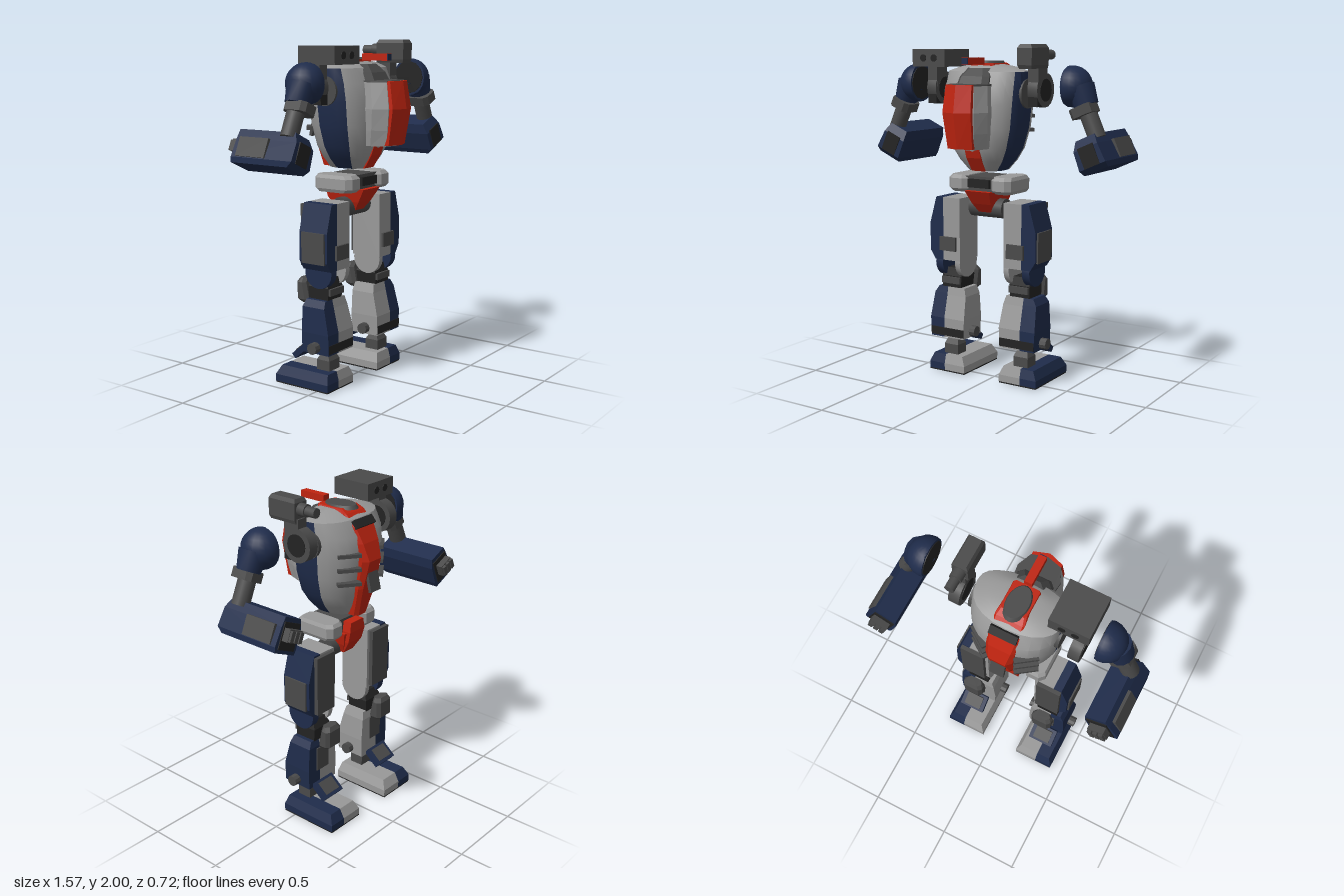
import * as THREE from 'three';
import { toCreasedNormals } from 'three/addons/utils/BufferGeometryUtils.js';

const paint = (name, color) => {
  const m = new THREE.MeshStandardMaterial({ color });
  m.name = name;
  return m;
};

// Flat-sided solid through closed rings of [x, y, z]; pick(i, r) gives the material index of side i in row r.
function loft(rings, pick = () => 0, s = 1) {
  const n = rings[0].length, tris = [];
  const add = (g, a, b, c) => tris.push({ g, p: [a, b, c].map(v => [v[0] * s, v[1], v[2]]) });
  for (let r = 0; r + 1 < rings.length; r++) for (let i = 0; i < n; i++) {
    const j = (i + 1) % n, A = rings[r], B = rings[r + 1];
    add(pick(i, r), A[i], B[i], B[j]);
    add(pick(i, r), A[i], B[j], A[j]);
  }
  const last = rings[rings.length - 1];
  for (let i = 1; i + 1 < n; i++) {
    add(0, rings[0][0], rings[0][i], rings[0][i + 1]);
    add(0, last[0], last[i + 1], last[i]);
  }
  // turn the faces outward whatever the ring direction
  let vol = 0;
  const c0 = new THREE.Vector3(...tris[0].p[0]);
  tris.forEach(({ p }) => {
    const [a, b, c] = p.map(v => new THREE.Vector3(...v).sub(c0));
    vol += a.dot(b.cross(c));
  });
  if (vol < 0) tris.forEach(t => t.p.reverse());
  tris.sort((a, b) => a.g - b.g);
  const geo = new THREE.BufferGeometry();
  geo.setAttribute('position', new THREE.Float32BufferAttribute(tris.flatMap(t => t.p.flat()), 3));
  [0, 1].forEach(g => {
    const from = tris.findIndex(t => t.g === g), count = tris.filter(t => t.g === g).length;
    if (count) geo.addGroup(from * 3, count * 3, g);
  });
  geo.computeVertexNormals();
  return geo;
}

// Horizontal rectangle with optional cut corners
function rect(y, x0, x1, z0, z1, c = 0) {
  if (!c) return [[x0, y, z0], [x1, y, z0], [x1, y, z1], [x0, y, z1]];
  return [[x0 + c, y, z0], [x1 - c, y, z0], [x1, y, z0 + c], [x1, y, z1 - c],
    [x1 - c, y, z1], [x0 + c, y, z1], [x0, y, z1 - c], [x0, y, z0 + c]];
}

export function createModel() {
  const light = paint('lightGrey', 0x999999), grey = paint('darkGrey', 0x4a4a4a);
  const black = paint('black', 0x232323), navy = paint('navy', 0x1f2c4b), red = paint('red', 0xbf2410);

  const mesh = (parent, name, geo, mat, pos = [0, 0, 0], rot = [0, 0, 0]) => {
    const m = new THREE.Mesh(geo, mat);
    m.name = name;
    m.position.set(...pos);
    m.rotation.set(...rot);
    parent.add(m);
    return m;
  };
  const box = (p, name, mat, size, pos, rot) => mesh(p, name, new THREE.BoxGeometry(...size), mat, pos, rot);
  const solid = (p, name, mat, rows, s = 1) => mesh(p, name, loft(rows.map(r => rect(...r)), undefined, s), mat);
  const rod = (p, name, mat, r, len, pos, axis, sides = 16) => mesh(p, name,
    toCreasedNormals(new THREE.CylinderGeometry(r, r, len, sides), 0.6), mat, pos,
    axis === 'x' ? [0, 0, Math.PI / 2] : axis === 'z' ? [Math.PI / 2, 0, 0] : [0, 0, 0]);
  const group = (parent, name, x = 0, y = 0, z = 0) => {
    const g = new THREE.Group();
    g.name = name;
    g.position.set(x, y, z);
    parent.add(g);
    return g;
  };

  const model = new THREE.Group();
  model.name = 'walker';
  const body = group(model, 'body', -0.045);

  // Barrel torso with navy flanks: [y, half width, back z, front z]
  const hull = [[1.27, .11, .10, -.15], [1.33, .165, .14, -.18], [1.40, .208, .175, -.205], [1.52, .243, .19, -.23],
    [1.66, .258, .19, -.248], [1.76, .262, .17, -.232], [1.845, .257, .125, -.18], [1.87, .18, .09, -.13], [1.885, .1, .06, -.08]];
  const pow = (v, e) => Math.sign(v) * Math.abs(v) ** e;
  const rings = hull.map(([y, w, b, f]) => Array.from({ length: 24 }, (_, i) => {
    const a = i / 24 * Math.PI * 2, z = pow(Math.sin(a), .85);
    return [w * pow(Math.cos(a), .85), y, z > 0 ? z * b : -z * f];
  }));
  const flank = (i, r) => {
    const a = (i + .5) / 24 * Math.PI * 2;
    return r < 6 && Math.abs(Math.cos(a)) > .87 && Math.sin(a) > -.2 ? 1 : 0;
  };
  mesh(body, 'torso', toCreasedNormals(loft(rings, flank), .5), [light, navy]);

  // Red centre ridge, visor band, hatch and chest plate
  solid(body, 'chestRidge', red, [[1.27, -.05, .05, -.2, 0, .02], [1.45, -.075, .075, -.25, 0, .02],
    [1.62, -.08, .08, -.29, 0, .03], [1.72, -.085, .085, -.256, 0, .02], [1.81, -.085, .085, -.21, .02, .01],
    [1.87, -.085, .085, -.14, .07, .01], [1.892, -.075, .075, -.1, .07, .01]]);
  box(body, 'visorBand', black, [.16, .05, .03], [0, 1.82, -.2], [.7, 0, 0]);
  box(body, 'chestPlate', grey, [.085, .18, .02], [0, 1.525, -.269], [.235, 0, 0]);
  const hatch = mesh(body, 'hatch', toCreasedNormals(new THREE.CylinderGeometry(.06, .07, .02, 20), .6), grey, [0, 1.893, -.04]);
  hatch.scale.z = 1.6;
  box(body, 'antenna', red, [.045, .04, .17], [0, 1.905, .155]);
  box(body, 'antennaEnd', navy, [.04, .036, .006], [0, 1.905, .242]);

  // Backpack, each ring scaled from one outline; the red face is a thin bent plate
  const pack = (pts, rows) => loft(rows.map(([y, k, dz]) => pts.map(([x, z]) => [x * k, y, z + dz])));
  const outline = [[-.125, .1], [-.14, .22], [-.1, .305], [0, .33], [.1, .305], [.14, .22], [.125, .1]];
  mesh(body, 'backpack', pack(outline, [[1.41, .8, -.03], [1.5, .92, -.012], [1.62, 1, 0], [1.768, .9, -.02]]), light);
  mesh(body, 'backpackLid', pack(outline, [[1.768, .9, -.02], [1.777, .89, -.02]]), grey);
  solid(body, 'backpackHood', grey, [[1.77, -.108, .108, 0, .195, .03], [1.82, -.1, .1, 0, .17, .03], [1.865, -.075, .075, 0, .125, .03]]);
  const face = [[0, .322], [-.095, .298], [-.095, .325], [0, .355], [.095, .325], [.095, .298]];
  mesh(body, 'backpackFace', pack(face, [[1.415, .88, -.03], [1.62, 1, .004], [1.775, .92, -.02]]), red);
  solid(body, 'lowerBackStrip', red, [[1.27, -.045, .045, 0, .105], [1.35, -.05, .05, 0, .156], [1.45, -.05, .05, 0, .19]]);

  // Pelvis
  box(body, 'waistBlock', grey, [.2, .09, .2], [0, 1.19, -.01]);
  box(body, 'waistInset', black, [.15, .05, .02], [0, 1.195, .1]);
  solid(body, 'crotchGuard', red, [[1.01, -.04, .04, -.09, .03], [1.07, -.065, .065, -.12, .075], [1.15, -.085, .085, -.14, .125]]);
  solid(body, 'frontGuard', red, [[1.01, -.04, .04, -.1, 0], [1.09, -.06, .06, -.15, 0], [1.16, -.065, .065, -.168, 0], [1.22, -.055, .055, -.165, 0]]);
  rod(body, 'hipAxle', grey, .06, .23, [0, 1.04, -.02], 'x');

  for (const s of [1, -1]) {
    const side = s > 0 ? 'left' : 'right';
    solid(body, side + 'HipBlock', light, [[1.14, .09, .205, -.13, .1, .03], [1.16, .08, .215, -.145, .12, .03],
      [1.22, .08, .215, -.145, .12, .03], [1.24, .09, .205, -.13, .1, .03]], s);
    rod(body, side + 'ShoulderSocket', grey, .085, .03, [s * .25, 1.72, -.02], 'x', 20);
    for (let i = 0; i < 3; i++)
      box(body, side + 'Grille', grey, [.135, .02, .05], [s * .135, 1.665 - i * .083, -.212], [0, -s * .62, 0]);

    // Leg: light inner half, navy outer half
    const leg = group(body, side + 'Leg');
    solid(leg, 'innerThigh', light, [[.705, .155, .275, -.12, .075], [1.09, .155, .275, -.12, .075]], s);
    solid(leg, 'outerThigh', navy, [[.705, .275, .335, -.12, .075], [.76, .275, .37, -.12, .075],
      [.93, .275, .37, -.12, .075], [1.09, .275, .325, -.12, .075]], s);
    box(leg, 'thighFrontPlate', grey, [.15, .36, .03], [s * .25, .9, -.13]);
    box(leg, 'thighSidePanel', grey, [.02, .18, .16], [s * .37, .84, -.02]);
    box(leg, 'thighBackBox', grey, [.115, .085, .03], [s * .237, .808, .075]);
    rod(leg, 'innerKneeDisc', light, .094, .035, [s * .173, .69, -.018], 'x', 20);
    rod(leg, 'outerKneeDisc', navy, .094, .05, [s * .305, .69, -.018], 'x', 20);
    solid(leg, 'kneeJoint', black, [[.5, .18, .31, -.1, .035], [.6, .17, .31, -.105, .035], [.65, .19, .29, -.08, .02]], s);
    box(leg, 'kneeBar', grey, [.13, .04, .06], [s * .24, .575, .02]);
    solid(leg, 'kneeCap', grey, [[.49, .19, .29, -.18, -.11, .02], [.51, .175, .305, -.205, -.12, .02],
      [.61, .175, .305, -.205, -.14, .02], [.635, .19, .29, -.19, -.14, .02]], s);
    solid(leg, 'innerShin', light, [[.22, .13, .27, -.11, .08], [.34, .125, .27, -.11, .08],
      [.48, .135, .27, -.11, .045], [.53, .15, .27, -.1, .035]], s);
    solid(leg, 'outerShin', navy, [[.22, .27, .365, -.11, .08], [.34, .27, .37, -.11, .08],
      [.49, .27, .36, -.11, .045], [.53, .27, .335, -.1, .035]], s);
    box(leg, 'shinPanel', grey, [.1, .15, .01], [s * .25, .4, -.112]);
    box(leg, 'calfBand', black, [.235, .05, .012], [s * .247, .255, .077]);
    rod(leg, 'ankleBolt', grey, .033, .32, [s * .25, .26, -.01], 'x', 10);
    box(leg, 'ankleGuard', navy, [.16, .035, .12], [s * .255, .205, -.155], [-.7, 0, 0]);
    box(leg, 'ankleGuardInset', grey, [.11, .01, .085], [s * .255, .222, -.168], [-.7, 0, 0]);
    solid(leg, 'ankle', grey, [[.09, .2, .3, -.055, .035], [.165, .2, .3, -.055, .035], [.2, .215, .285, -.035, .015]], s);
    solid(leg, 'innerFoot', light, [[.008, .125, .27, -.3, .08], [.05, .125, .27, -.3, .08], [.105, .15, .27, -.27, .065]], s);
    solid(leg, 'outerFoot', navy, [[.008, .27, .38, -.3, .08], [.05, .27, .38, -.3, .08], [.105, .27, .355, -.27, .065]], s);
    box(leg, 'sole', black, [.253, .008, .378], [s * .2525, .004, -.11]);

    // Arm: shoulder ball cut flat on its inner side, then a splayed limb
    const arm = group(model, side + 'Arm');
    const ball = new THREE.SphereGeometry(.115, 20, 14).translate(s * .525, 1.77, .025);
    const p = ball.attributes.position;
    for (let i = 0; i < p.count; i++) p.setX(i, s * Math.max(s * p.getX(i), .505));
    mesh(arm, 'shoulder', toCreasedNormals(ball, .6), navy);
    rod(arm, 'shoulderInnerPlate', black, .1, .008, [s * .505, 1.77, .025], 'x', 12);
    const limb = group(arm, 'limb', s * .55, 1.76, .04);
    limb.rotation.z = s * .42;
    mesh(limb, 'upperArm', toCreasedNormals(new THREE.CylinderGeometry(.085, .068, .11, 12), .6), navy, [s * .025, -.06, -.005]);
    solid(limb, 'elbowBand', grey, [[-.163, -.055, .075, -.065, .085, .025], [-.108, -.055, .075, -.065, .085, .025]], s);
    rod(limb, 'elbow', grey, .05, .16, [s * .018, -.22, -.005], 'y');
    solid(limb, 'forearm', navy, [[-.47, -.11, .045, -.34, .05], [-.44, -.115, .055, -.34, .08],
      [-.33, -.11, .045, -.34, .075], [-.275, -.09, .035, -.34, .045]], s);
    box(limb, 'forearmBackInset', black, [.1, .12, .008], [-s * .03, -.38, .078]);
    box(limb, 'forearmSideBox', grey, [.025, .11, .2], [s * .05, -.38, -.205]);
    box(limb, 'muzzleRecess', black, [.125, .15, .008], [-s * .03, -.375, -.342]);
    box(limb, 'palm', grey, [.1, .07, .05], [-s * .025, -.365, -.36]);
    for (let i = -1; i <= 1; i++) box(limb, 'finger', grey, [.026, .06, .03], [-s * .025 + i * .034, -.365, -.385]);
  }

  // Launcher pod on the right shoulder
  const pod = group(model, 'launcherPod');
  box(pod, 'podBox', grey, [.23, .1, .25], [-.348, 1.92, .045]);
  for (const x of [-.385, -.31]) for (const z of [-.081, .171])
    rod(pod, 'podTube', black, .021, .006, [x, 1.92, z], 'z');

  // Cannon on the left shoulder
  const gun = group(model, 'cannon');
  solid(gun, 'cannonBox', grey, [[1.865, .25, .33, -.04, .14], [1.885, .243, .337, -.04, .15],
    [1.98, .243, .337, -.04, .15], [2, .255, .325, -.03, .14]]);
  rod(gun, 'barrel', grey, .028, .12, [.29, 1.94, -.095], 'z');
  rod(gun, 'barrelCollar', grey, .036, .05, [.29, 1.94, -.065], 'z');

  // Round mounts that carry both weapons
  for (const [parent, x] of [[pod, -.407], [gun, .29]]) {
    box(parent, 'mountNeck', grey, [.068, .14, .1], [x, 1.82, 0]);
    rod(parent, 'mountDisc', grey, .098, .064, [x, 1.742, -.035], 'x', 20);
    rod(parent, 'mountHub', black, .065, .07, [x, 1.742, -.035], 'x', 20);
    box(parent, 'mountFoot', black, [.06, .12, .05], [x, 1.71, .03]);
  }
  return model;
}
